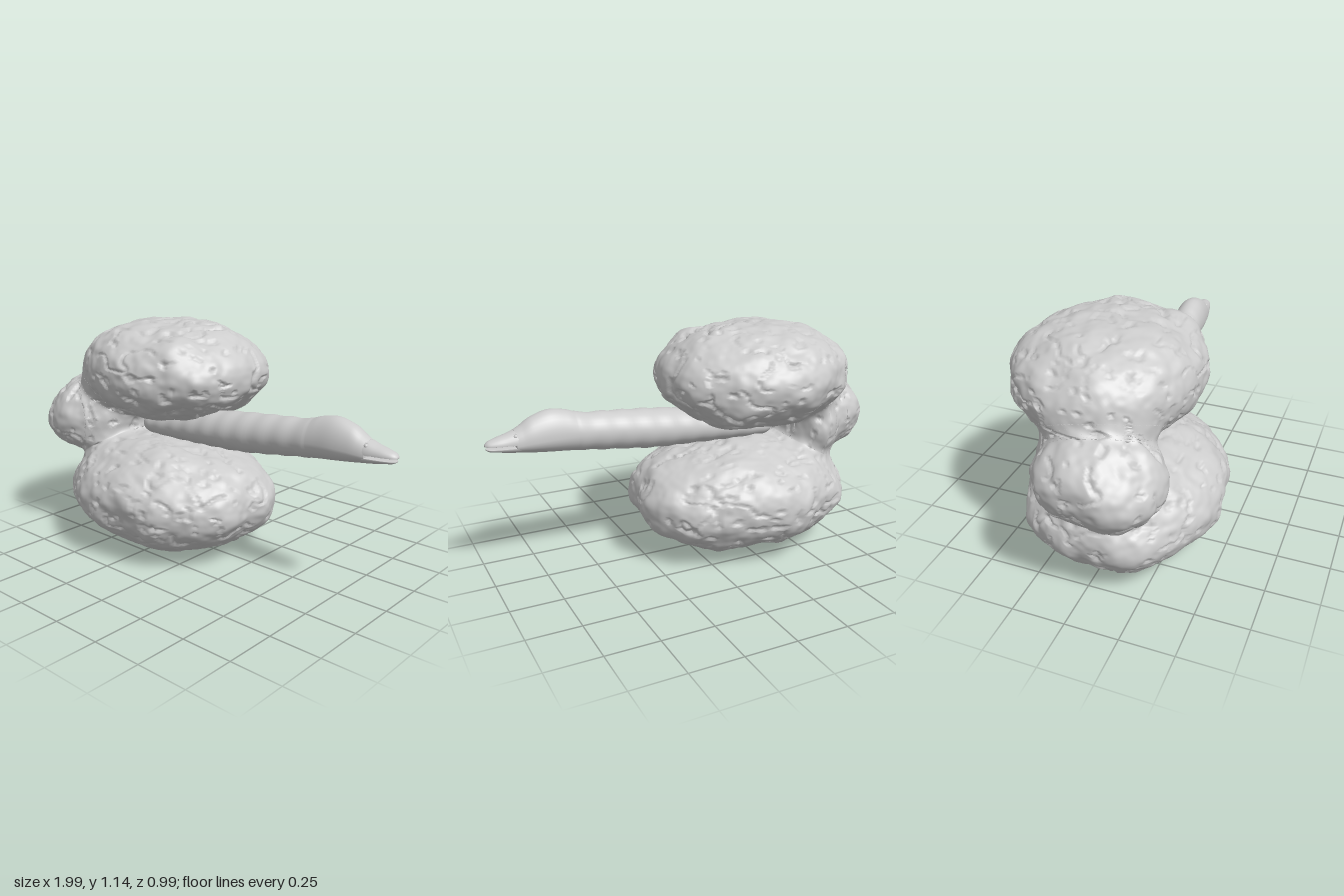
import * as THREE from 'three';
import { mergeVertices } from 'three/addons/utils/BufferGeometryUtils.js';

const material = new THREE.MeshStandardMaterial({ color: 0xcccccc, roughness: 0.8 });

// Smooth value noise in -1..1
function hash(x, y, z) {
  let h = Math.imul(x, 374761393) ^ Math.imul(y, 668265263) ^ Math.imul(z, 873357469);
  h = Math.imul(h ^ (h >>> 13), 1274126177);
  return (((h ^ (h >>> 16)) >>> 0) / 4294967295) * 2 - 1;
}
function noise(p, f, seed) {
  const q = [p.x * f + seed, p.y * f + seed * 2, p.z * f - seed];
  const c = q.map(Math.floor);
  const [u, v, w] = q.map((n, i) => { const t = n - c[i]; return t * t * (3 - 2 * t); });
  const lerp = THREE.MathUtils.lerp;
  const row = (j, k) => lerp(hash(c[0], c[1] + j, c[2] + k), hash(c[0] + 1, c[1] + j, c[2] + k), u);
  return lerp(lerp(row(0, 0), row(1, 0), v), lerp(row(0, 1), row(1, 1), v), w);
}

// Boulders of one lumpy mass: centre, radii, roundness power, mesh detail
const BOULDERS = [
  { name: 'lowerRock', c: [-0.28, 0.292, 0.015], r: [0.565, 0.28, 0.465], power: 2.06, detail: 41 },
  { name: 'upperRock', c: [-0.315, 0.9, -0.055], r: [0.475, 0.245, 0.425], power: 2.2, detail: 41 },
  { name: 'backRock', c: [-0.755, 0.63, 0.085], r: [0.235, 0.2, 0.275], power: 2.1, detail: 28 },
  { name: 'rockNeck', c: [-0.655, 0.63, 0], r: [0.15, 0.26, 0.255], power: 2, detail: 24 },
  { name: 'upperBridge', c: [-0.58, 0.81, 0.01], r: [0.2, 0.11, 0.24], power: 2, detail: 22 }
];

// Approximate distance to one boulder, and the soft union of all of them
function distance(p, { c, r, power: n }) {
  const q = [p.x - c[0], p.y - c[1], p.z - c[2]].map((v, i) => Math.abs(v / r[i]));
  const k = (q[0] ** n + q[1] ** n + q[2] ** n) ** (1 / n);
  const g = Math.hypot(...q.map((v, i) => v ** (n - 1) / r[i])) * k ** (1 - n);
  return (k - 1) / g;
}
function field(p) {
  const soft = 0.025;
  return -soft * Math.log(BOULDERS.reduce((s, b) => s + Math.exp(-distance(p, b) / soft), 0));
}
function gradient(p, out) {
  const e = 0.002, q = p.clone();
  for (const axis of ['x', 'y', 'z']) {
    q[axis] = p[axis] + e;
    const hi = field(q);
    q[axis] = p[axis] - e;
    out[axis] = (hi - field(q)) / (2 * e);
    q[axis] = p[axis];
  }
  return out;
}

// Bumps, broken cracks and pits of the rock surface
function relief(p) {
  let bump = 0.018 * noise(p, 6, 3.3) + 0.008 * noise(p, 15, 7.1) + 0.003 * noise(p, 34, 2.6);
  const crack = Math.abs(noise(p, 11, 11.7));
  if (crack < 0.07 && noise(p, 15, 5.2) > -0.1) bump -= 0.013 * (1 - crack / 0.07);
  if (noise(p, 26, 9.4) > 0.58) bump -= 0.009;
  return bump;
}

function boulder(b) {
  let geo = new THREE.IcosahedronGeometry(1, b.detail);
  geo.deleteAttribute('normal');
  geo.deleteAttribute('uv');
  geo = mergeVertices(geo);
  const pos = geo.attributes.position, n = b.power;
  const p = new THREE.Vector3(), g = new THREE.Vector3();
  const r = new THREE.Vector3(...b.r), c = new THREE.Vector3(...b.c);
  for (let i = 0; i < pos.count; i++) {
    p.fromBufferAttribute(pos, i);
    const s = (Math.abs(p.x) ** n + Math.abs(p.y) ** n + Math.abs(p.z) ** n) ** (-1 / n);
    p.multiplyScalar(s).multiply(r).add(c);
    // Near a joint, slide onto the blended skin; buried points stay inside
    if (field(p) > -0.07) {
      for (let step = 0; step < 4; step++) {
        const f = field(p);
        gradient(p, g);
        p.addScaledVector(g, THREE.MathUtils.clamp(-f / Math.max(g.lengthSq(), 0.2), -0.03, 0.03));
      }
      p.addScaledVector(gradient(p, g).normalize(), relief(p));
    }
    pos.setXYZ(i, p.x, Math.max(0, p.y), p.z);
  }
  geo.computeVertexNormals();
  const mesh = new THREE.Mesh(geo, material);
  mesh.name = b.name;
  return mesh;
}

// Closed skin along x; each section is [x, centreY, up, down, centreZ, halfWidth]
function loft(name, sections, rows, sides, ripple = () => 1) {
  const curves = [1, 2, 3, 4, 5].map(k =>
    new THREE.SplineCurve(sections.map(s => new THREE.Vector2(s[0], s[k]))));
  const verts = [], index = [];
  for (let i = 0; i <= rows; i++) {
    const pts = curves.map(c => c.getPoint(i / rows));
    const x = pts[0].x, [cy, up, down, cz, w] = pts.map(q => q.y);
    const k = ripple(x);
    for (let j = 0; j < sides; j++) {
      const a = (j / sides) * Math.PI * 2, sn = Math.sin(a);
      verts.push(x, cy + sn * k * (sn > 0 ? up : down), cz + Math.cos(a) * w * k);
      if (i < rows) {
        const n = (j + 1) % sides, A = i * sides + j, B = i * sides + n;
        index.push(A, B, A + sides, B, B + sides, A + sides);
      }
    }
  }
  // End caps
  for (const [row, s] of [[0, sections[0]], [rows, sections[sections.length - 1]]]) {
    const tip = verts.length / 3;
    verts.push(s[0], s[1], s[4]);
    for (let j = 0; j < sides; j++) {
      const A = row * sides + j, B = row * sides + (j + 1) % sides;
      if (row) index.push(tip, A, B);
      else index.push(tip, B, A);
    }
  }
  const geo = new THREE.BufferGeometry();
  geo.setAttribute('position', new THREE.Float32BufferAttribute(verts, 3));
  geo.setIndex(index);
  geo.computeVertexNormals();
  const mesh = new THREE.Mesh(geo, material.clone());
  mesh.material.side = THREE.DoubleSide;
  mesh.name = name;
  return mesh;
}

export function createModel() {
  const model = new THREE.Group();
  model.name = 'eelInRocks';

  // Stacked boulders joined at the back
  const rocks = new THREE.Group();
  rocks.name = 'rocks';
  rocks.add(...BOULDERS.map(boulder));
  model.add(rocks);

  // Eel body, gently ringed up to the head
  const eel = new THREE.Group();
  eel.name = 'eel';
  const body = [
    [-0.46, 0.605, 0.01, 0.01, 0, 0.01],
    [-0.44, 0.607, 0.045, 0.04, 0, 0.05],
    [-0.38, 0.61, 0.06, 0.055, 0, 0.075],
    [-0.2, 0.63, 0.075, 0.072, 0.005, 0.09],
    [0, 0.65, 0.09, 0.085, 0.008, 0.1],
    [0.2, 0.668, 0.095, 0.095, 0.005, 0.1],
    [0.4, 0.688, 0.092, 0.092, 0, 0.09],
    [0.55, 0.7, 0.092, 0.085, -0.005, 0.082],
    [0.63, 0.705, 0.112, 0.08, -0.008, 0.08],
    [0.71, 0.705, 0.122, 0.072, -0.01, 0.079],
    [0.79, 0.7, 0.104, 0.058, -0.012, 0.071],
    [0.84, 0.694, 0.078, 0.045, -0.012, 0.062],
    [0.87, 0.69, 0.065, 0.037, -0.012, 0.055]
  ];
  const ripple = x => 1 + (x > -0.4 && x < 0.58 ? 0.022 * Math.sin(x * 58) : 0);
  eel.add(loft('eelBody', body, 120, 32, ripple));

  // Jaws with a thin open mouth between them
  eel.add(loft('upperJaw', [
    [0.84, 0.698, 0.066, 0.003, -0.012, 0.058],
    [0.87, 0.698, 0.057, 0.003, -0.012, 0.055],
    [0.91, 0.698, 0.043, 0.003, -0.013, 0.048],
    [0.95, 0.698, 0.032, 0.003, -0.014, 0.04],
    [0.985, 0.698, 0.02, 0.003, -0.015, 0.027],
    [1, 0.698, 0.006, 0.002, -0.015, 0.01]
  ], 20, 28));
  eel.add(loft('lowerJaw', [
    [0.84, 0.683, 0.003, 0.031, -0.012, 0.057],
    [0.87, 0.683, 0.003, 0.03, -0.012, 0.054],
    [0.91, 0.683, 0.003, 0.024, -0.013, 0.047],
    [0.95, 0.683, 0.003, 0.017, -0.014, 0.038],
    [0.98, 0.683, 0.003, 0.012, -0.015, 0.026],
    [0.995, 0.683, 0.002, 0.004, -0.015, 0.01]
  ], 20, 28));

  // Small sunken eyes with lids
  for (const side of [-1, 1]) {
    const eye = new THREE.Group();
    eye.name = side > 0 ? 'frontEye' : 'backEye';
    const ball = new THREE.Mesh(new THREE.SphereGeometry(0.01, 16, 12), material);
    ball.name = 'eyeball';
    const lid = new THREE.Mesh(new THREE.TorusGeometry(0.012, 0.004, 8, 20), material);
    lid.name = 'eyelid';
    eye.add(ball, lid);
    eye.position.set(0.868, 0.734, -0.012 + side * 0.036);
    eye.rotation.set(-side * 0.6, side * 0.3, 0);
    eel.add(eye);
  }
  model.add(eel);
  return model;
}
